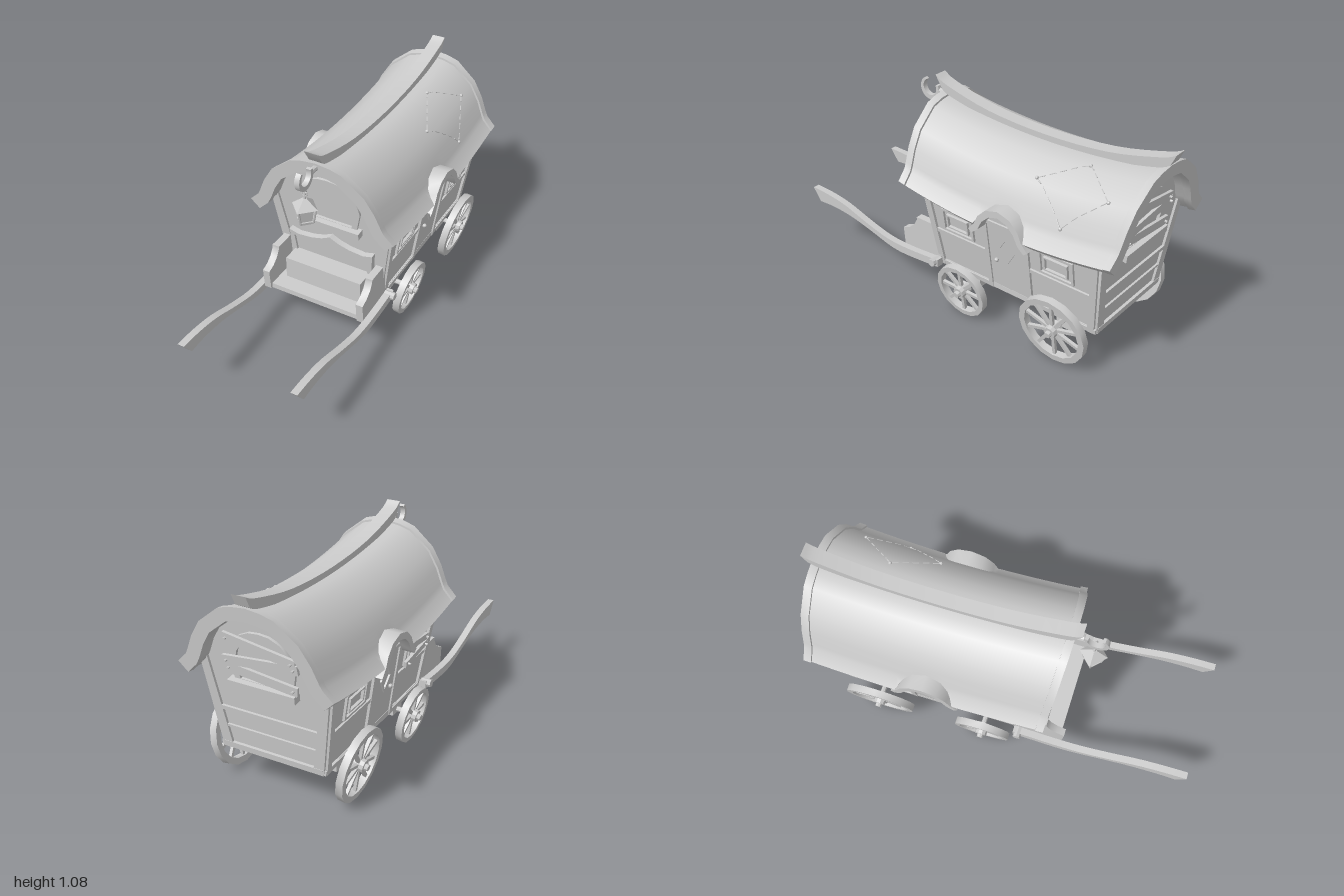
import * as THREE from 'three';
import { toCreasedNormals } from 'three/addons/utils/BufferGeometryUtils.js';

const mat = new THREE.MeshStandardMaterial({ color: 0xcccccc, side: THREE.DoubleSide });
const V = (x, y, z) => new THREE.Vector3(x, y, z);

function add(parent, name, geo, x = 0, y = 0, z = 0) {
  const m = new THREE.Mesh(toCreasedNormals(geo, 0.6), mat);
  m.name = name;
  m.position.set(x, y, z);
  parent.add(m);
  return m;
}
const box = (p, name, w, h, d, x, y, z) => add(p, name, new THREE.BoxGeometry(w, h, d), x, y, z);
const poly = pts => new THREE.Shape(pts.map(p => new THREE.Vector2(p[0], p[1])));
const extrude = (shape, depth) => new THREE.ExtrudeGeometry(shape, { depth, bevelEnabled: false, curveSegments: 8 });
// shape drawn in (z, y), extruded from x0 to x0 + depth
const sideways = (shape, x0, depth) => extrude(shape, depth).rotateY(-Math.PI / 2).translate(x0 + depth, 0, 0);
const smooth = (pts, n = 24) => new THREE.SplineCurve(pts.map(p => new THREE.Vector2(...p))).getPoints(n).map(p => [p.x, p.y]);
const mirrorPts = half => [...half, ...half.slice().reverse().filter(p => p[0] !== 0).map(p => [-p[0], p[1]])];

function rod(p, name, a, b, r, sides = 8) {
  const m = add(p, name, new THREE.CylinderGeometry(r, r, a.distanceTo(b), sides));
  m.position.copy(a).add(b).multiplyScalar(0.5);
  m.quaternion.setFromUnitVectors(V(0, 1, 0), b.clone().sub(a).normalize());
  return m;
}

// rectangular frame in the xy plane
function frame(w, h, t, d) {
  const rect = (a, b) => [[-a, -b], [a, -b], [a, b], [-a, b]];
  const s = poly(rect(w / 2, h / 2));
  s.holes.push(poly(rect(w / 2 - t, h / 2 - t)));
  return extrude(s, d);
}

// Roof: half profile swept along z with a sag, cut away above the doors
const PROFILE = [[0, 1.0], [0.07, 0.992], [0.13, 0.975], [0.235, 0.89], [0.285, 0.81], [0.315, 0.74], [0.33, 0.71], [0.38, 0.66]];
const MID = -0.33;
const sag = z => -0.06 * (1 - ((z - MID) / 0.62) ** 2);
const doorCut = z => (Math.abs(z - MID) < 0.15 ? 0.56 + Math.sqrt(0.15 ** 2 - (z - MID) ** 2) * 0.93 : 0);

function roofSection(z, lift, thick) {
  const P = PROFILE.map(([x, y]) => [x, y + sag(z)]);
  const cut = doorCut(z), outer = [], inner = [];
  P.forEach((p, i) => {
    const a = P[Math.max(i - 1, 0)], b = P[Math.min(i + 1, P.length - 1)];
    const l = Math.hypot(b[0] - a[0], b[1] - a[1]);
    const n = i ? [(a[1] - b[1]) / l, (b[0] - a[0]) / l] : [0, 1];
    let q = p;
    if (p[1] < cut) {
      const k = P.findIndex(r => r[1] < cut), f = (P[k - 1][1] - cut) / (P[k - 1][1] - P[k][1]);
      q = [P[k - 1][0] + f * (P[k][0] - P[k - 1][0]), cut];
    }
    outer.push([q[0] + n[0] * lift, q[1] + n[1] * lift]);
    inner.push([q[0] - n[0] * thick, q[1] - n[1] * thick]);
  });
  const full = h => [...h.slice(1).reverse().map(p => [-p[0], p[1]]), ...h];
  return [...full(outer), ...full(inner).reverse()];
}

function roofLoft(z0, z1, n, lift, thick) {
  const pos = [], idx = [];
  let c = 0;
  for (let i = 0; i <= n; i++) {
    const z = z0 + (z1 - z0) * i / n, ring = roofSection(z, lift, thick);
    c = ring.length;
    ring.forEach(([x, y]) => pos.push(x, y, z + (z - MID) / 0.6 * (y - 0.64) * 0.09));
  }
  for (let i = 0; i < n; i++) for (let j = 0; j < c; j++) {
    const a = i * c + j, b = i * c + (j + 1) % c;
    idx.push(a, a + c, b, b, a + c, b + c);
  }
  for (let j = 0; j < c / 2 - 1; j++) {
    const a = j, b = j + 1, d = c - 1 - j, e = c - 2 - j, o = n * c;
    idx.push(a, b, d, b, e, d, o + a, o + d, o + b, o + b, o + d, o + e);
  }
  const g = new THREE.BufferGeometry();
  g.setAttribute('position', new THREE.Float32BufferAttribute(pos, 3));
  g.setIndex(idx);
  return g;
}

function roofPoint(x, z) {
  const k = PROFILE.findIndex(p => p[0] >= x), [a, b] = [PROFILE[k - 1], PROFILE[k]];
  const y = a[1] + (b[1] - a[1]) * (x - a[0]) / (b[0] - a[0]) + sag(z);
  return V(x, y + 0.003, z + (z - MID) / 0.6 * (y - 0.64) * 0.09);
}

function wheel(r, spokes) {
  const g = new THREE.Group(), w = 0.018, t = r * 0.17;
  g.name = 'wheel';
  const rim = [[r - t, -w], [r, -w], [r, w], [r - t, w], [r - t, -w]].map(p => new THREE.Vector2(...p));
  add(g, 'rim', new THREE.LatheGeometry(rim, 16).rotateZ(Math.PI / 2));
  add(g, 'hub', new THREE.CylinderGeometry(0.03, 0.036, 0.06, 10).rotateZ(-Math.PI / 2));
  add(g, 'hubCap', new THREE.CylinderGeometry(0.015, 0.018, 0.025, 8).rotateZ(-Math.PI / 2), 0.035);
  for (let i = 0; i < spokes; i++) {
    const a = i / spokes * Math.PI * 2;
    box(g, 'spoke', 0.016, r - t, 0.016, 0, Math.cos(a) * (r - t / 2) / 2, Math.sin(a) * (r - t / 2) / 2).rotation.x = a;
  }
  return g;
}

// nailed planks, local xy plane facing +z: [y, length, tilt]
function planks(p, list, h) {
  for (const [y, len, tilt] of list) {
    const g = new THREE.Group();
    g.name = 'plank';
    g.position.set(0, y, 0);
    g.rotation.z = tilt;
    box(g, 'board', len, h, 0.014, 0, 0, 0);
    for (const s of [-1, 1]) add(g, 'nail', new THREE.CylinderGeometry(0.006, 0.006, 0.016, 6).rotateX(Math.PI / 2), s * (len / 2 - 0.02), 0, 0.012);
    p.add(g);
  }
}

// end wall with arched window; local y = 0 is the floor, facing +z
function endWall(root, name, z, tilt, turn) {
  const g = new THREE.Group();
  g.name = name;
  g.position.set(0, 0.21, z);
  g.rotation.set(tilt, turn, 0);
  const half = [[0.26, 0], [0.325, 0.44], [0.3, 0.49], [0.275, 0.58], [0.22, 0.66], [0.125, 0.735], [0, 0.765]];
  add(g, 'wall', extrude(poly(mirrorPts(half)), 0.02), 0, 0, -0.02);
  for (const s of [-1, 1]) {
    const post = [[0.262, 0], [0.325, 0.44], [0.295, 0.52], [0.212, 0.02], [0.212, 0]].map(p => [p[0] * s, p[1]]);
    add(g, 'cornerPost', extrude(poly(post), 0.012));
  }
  const arch = (w, b, h) => mirrorPts([[w * 0.88, b], [w, b + h * 0.4], [w * 0.9, b + h * 0.65], [w * 0.62, b + h * 0.88], [w * 0.3, b + h * 0.98], [0, b + h]]);
  const s = poly(arch(0.168, 0.4, 0.25));
  s.holes.push(poly(arch(0.135, 0.402, 0.215)));
  add(g, 'windowFrame', extrude(s, 0.014));
  box(g, 'windowSill', 0.34, 0.036, 0.045, 0, 0.382, 0.02);
  root.add(g);
  return g;
}

function sideParts(boarded) {
  const side = new THREE.Group();
  side.name = 'side';
  // panelling on the sloping wall
  const wall = new THREE.Group();
  wall.name = 'sidePanelling';
  wall.position.set(0.26, 0.21, 0);
  wall.rotation.z = -0.143;
  side.add(wall);
  const slab = (name, z0, z1, y0, y1, d) => box(wall, name, d, y1 - y0, z1 - z0, d / 2, (y0 + y1) / 2 - 0.21, (z0 + z1) / 2);
  for (const [z0, z1] of [[-0.2, 0.14], [-0.81, -0.45]]) {
    slab('middleRail', z0, z1, 0.408, 0.428, 0.01);
    slab('bottomRail', z0, z1, 0.21, 0.235, 0.012);
  }
  for (const z of [-0.21, -0.445]) slab('doorPost', z - 0.012, z + 0.012, 0.21, 0.6, 0.013);
  slab('doorLintel', -0.457, -0.198, 0.6, 0.62, 0.013);
  slab('door', -0.432, -0.222, 0.22, 0.6, 0.005);
  add(wall, 'doorArchPanel', sideways(poly([[-0.46, 0.4], [-0.2, 0.4], [-0.24, 0.45], [-0.29, 0.48], [-0.37, 0.48], [-0.42, 0.45]]), -0.03, 0.034));
  for (const [a, b] of [[0.12, 0.165], [-0.8, -0.84]]) {
    const d = a > 0 ? -0.035 : 0.035;
    add(wall, 'cornerPost', sideways(poly([[a, 0], [b, 0.43], [b + d, 0.43], [a + d, 0]]), -0.005, 0.018));
  }
  for (const z of [-0.035, -0.608]) {
    add(wall, 'windowFrame', frame(0.19, 0.128, 0.012, 0.012).rotateY(Math.PI / 2), 0, 0.295, z);
    add(wall, 'windowPane', frame(0.13, 0.075, 0.008, 0.014).rotateY(Math.PI / 2), 0, 0.295, z);
  }
  const diamond = k => poly([[0, -0.08 * k], [0.05 * k, 0], [0, 0.08 * k], [-0.05 * k, 0]]);
  const lozenge = diamond(1);
  lozenge.holes.push(diamond(0.75));
  add(wall, 'doorWindow', sideways(lozenge, 0, 0.014), 0, 0.265, -0.327);
  add(wall, 'doorKnob', new THREE.SphereGeometry(0.011, 8, 6), 0.014, 0.19, -0.265);
  if (boarded) {
    const g = new THREE.Group();
    g.name = 'windowPlanks';
    g.position.set(0.02, 0.295, -0.035);
    g.rotation.y = Math.PI / 2;
    planks(g, [[0.035, 0.22, 0.12], [-0.03, 0.22, -0.15]], 0.034);
    wall.add(g);
  }
  // small arched canopy above the door
  const half = [[0.17, 0.565], [0.135, 0.605], [0.115, 0.65], [0.07, 0.695], [0, 0.715]];
  const low = [[0.15, 0.55], [0.115, 0.58], [0.09, 0.63], [0.05, 0.667], [0, 0.682]];
  const canopy = [...mirrorPts(half), ...mirrorPts(low).reverse()];
  add(side, 'doorCanopy', sideways(poly(canopy), 0.27, 0.11), 0, 0, MID);
  // driver's cheek board and the shaft
  add(side, 'seatCheek', sideways(poly([[0.1, 0.21], [0.35, 0.21], [0.36, 0.32], [0.32, 0.335], [0.285, 0.365], [0.265, 0.4], [0.265, 0.415], [0.12, 0.415]]), 0.243, 0.037));
  const top = smooth([[1, 0.34], [0.88, 0.335], [0.75, 0.315], [0.6, 0.27], [0.45, 0.235], [0.3, 0.23], [0.1, 0.245]]);
  const bottom = smooth([[0.1, 0.205], [0.3, 0.19], [0.42, 0.195], [0.58, 0.235], [0.72, 0.265], [0.85, 0.275], [0.95, 0.27]]);
  add(side, 'shaft', sideways(poly([...top, ...bottom]), 0.28, 0.035));
  rod(side, 'shaftPin', V(0.27, 0.228, 0.125), V(0.335, 0.228, 0.125), 0.02);
  // wheels lean outwards at the top
  for (const [r, z, x, n] of [[0.145, -0.065, 0.322, 8], [0.182, -0.62, 0.332, 10]]) {
    const w = wheel(r, n);
    w.position.set(x, r, z);
    w.rotation.z = -0.16;
    side.add(w);
    box(side, 'axleBlock', 0.095, 0.08, 0.09, 0.192, 0.175, z);
  }
  return side;
}

export function createModel() {
  const root = new THREE.Group();
  root.name = 'wagon';

  // body with sloping walls
  const body = new THREE.BoxGeometry(1, 1, 1), p = body.attributes.position;
  for (let i = 0; i < p.count; i++) {
    const h = (p.getY(i) + 0.5) * 0.41;
    p.setXYZ(i, Math.sign(p.getX(i)) * (0.26 + 0.144 * h), 0.21 + h, p.getZ(i) > 0 ? 0.115 + 0.11 * h : -0.795 - 0.1 * h);
  }
  body.computeVertexNormals();
  add(root, 'body', body);
  box(root, 'floor', 0.54, 0.027, 1.145, 0, 0.222, -0.233);

  root.add(sideParts(false));
  const right = sideParts(true);
  right.scale.x = -1;
  root.add(right);
  for (const [y, z] of [[0.152, -0.065], [0.187, -0.62]]) rod(root, 'axle', V(-0.34, y, z), V(0.34, y, z), 0.013);

  // front wall with shaped backrest and seat
  const front = endWall(root, 'frontWall', 0.12, 0.11, 0);
  const rest = (w, lift) => poly(mirrorPts([[w - 0.02, 0.02], [w, 0.27 - lift], [w * 0.78, 0.255 - lift], [w * 0.45, 0.263 - lift], [w * 0.2, 0.28 - lift], [0, 0.305 - lift]]));
  const border = rest(0.232, 0);
  border.holes.push(rest(0.207, 0.027));
  add(front, 'backrest', extrude(rest(0.225, 0.01), 0.018));
  add(front, 'backrestBorder', extrude(border, 0.03));
  box(root, 'seat', 0.42, 0.12, 0.14, 0, 0.292, 0.185);

  // rear wall with rails and boarded window
  const rear = endWall(root, 'rearWall', -0.8, -0.1, Math.PI);
  box(rear, 'rail', 0.53, 0.02, 0.012, 0, 0.215, 0.006);
  box(rear, 'rail', 0.5, 0.012, 0.01, 0, 0.12, 0.005);
  box(rear, 'bottomRail', 0.52, 0.03, 0.014, 0, 0.015, 0.007);
  const boards = new THREE.Group();
  boards.name = 'rearPlanks';
  boards.position.z = 0.022;
  planks(boards, [[0.58, 0.36, -0.16], [0.51, 0.38, 0.1], [0.44, 0.36, -0.12]], 0.045);
  rear.add(boards);

  // roof, end hoops and ridge beam
  add(root, 'roof', roofLoft(-0.91, 0.25, 64, 0, 0.045));
  add(root, 'frontHoop', roofLoft(0.232, 0.268, 2, 0.01, 0.055));
  add(root, 'rearHoop', roofLoft(-0.928, -0.892, 2, 0.01, 0.055));
  const top = smooth([[0.335, 1.08], [0.26, 1.043], [0, 0.985], [-0.33, 0.965], [-0.66, 0.985], [-0.92, 1.043], [-0.995, 1.075]]);
  const under = smooth([[-0.97, 1.02], [-0.9, 0.99], [-0.66, 0.945], [-0.33, 0.925], [0, 0.945], [0.24, 0.99], [0.295, 1.015]]);
  add(root, 'ridgeBeam', sideways(poly([...top, ...under]), -0.035, 0.07));

  // stitched patch
  const corners = [[0.23, -0.79], [0.31, -0.62], [0.215, -0.42], [0.11, -0.62]];
  corners.forEach((c, i) => {
    const d = corners[(i + 1) % 4], at = t => roofPoint(c[0] + (d[0] - c[0]) * t, c[1] + (d[1] - c[1]) * t);
    add(root, 'patchNail', new THREE.SphereGeometry(0.009, 8, 6)).position.copy(at(0));
    for (let k = 0; k < 5; k++) rod(root, 'stitch', at((k + 0.2) / 5), at((k + 0.8) / 5), 0.0025, 5);
  });

  // crescent hook, tapering towards its tips
  rod(root, 'hookArm', V(0, 0.98, 0.27), V(0, 0.985, 0.345), 0.014);
  const arc = (r, c, a0, a1) => Array.from({ length: 17 }, (_, i) => {
    const a = a0 + (a1 - a0) * i / 16;
    return [0.397 + Math.cos(a) * r, c + Math.sin(a) * r];
  });
  add(root, 'hook', sideways(poly([...arc(0.06, 0.985, 2.7, 7.15), ...arc(0.042, 0.991, 7.15, 2.7)]), -0.013, 0.026));

  // lantern
  const lantern = new THREE.Group();
  lantern.name = 'lantern';
  lantern.position.set(0, 0, 0.395);
  root.add(lantern);
  rod(lantern, 'hanger', V(0, 0.87, 0), V(0, 0.93, 0), 0.006);
  add(lantern, 'hangerRing', new THREE.TorusGeometry(0.012, 0.004, 6, 10), 0, 0.9, 0);
  add(lantern, 'lanternCap', new THREE.CylinderGeometry(0.012, 0.068, 0.045, 4), 0, 0.852, 0);
  add(lantern, 'lanternGlass', new THREE.CylinderGeometry(0.048, 0.036, 0.075, 4), 0, 0.792, 0);
  add(lantern, 'lanternBase', new THREE.CylinderGeometry(0.048, 0.046, 0.012, 4), 0, 0.756, 0);
  for (let i = 0; i < 4; i++) {
    const x = Math.sin(i * Math.PI / 2), z = Math.cos(i * Math.PI / 2);
    rod(lantern, 'lanternBar', V(x * 0.042, 0.755, z * 0.042), V(x * 0.057, 0.832, z * 0.057), 0.006, 6);
  }
  return root;
}
